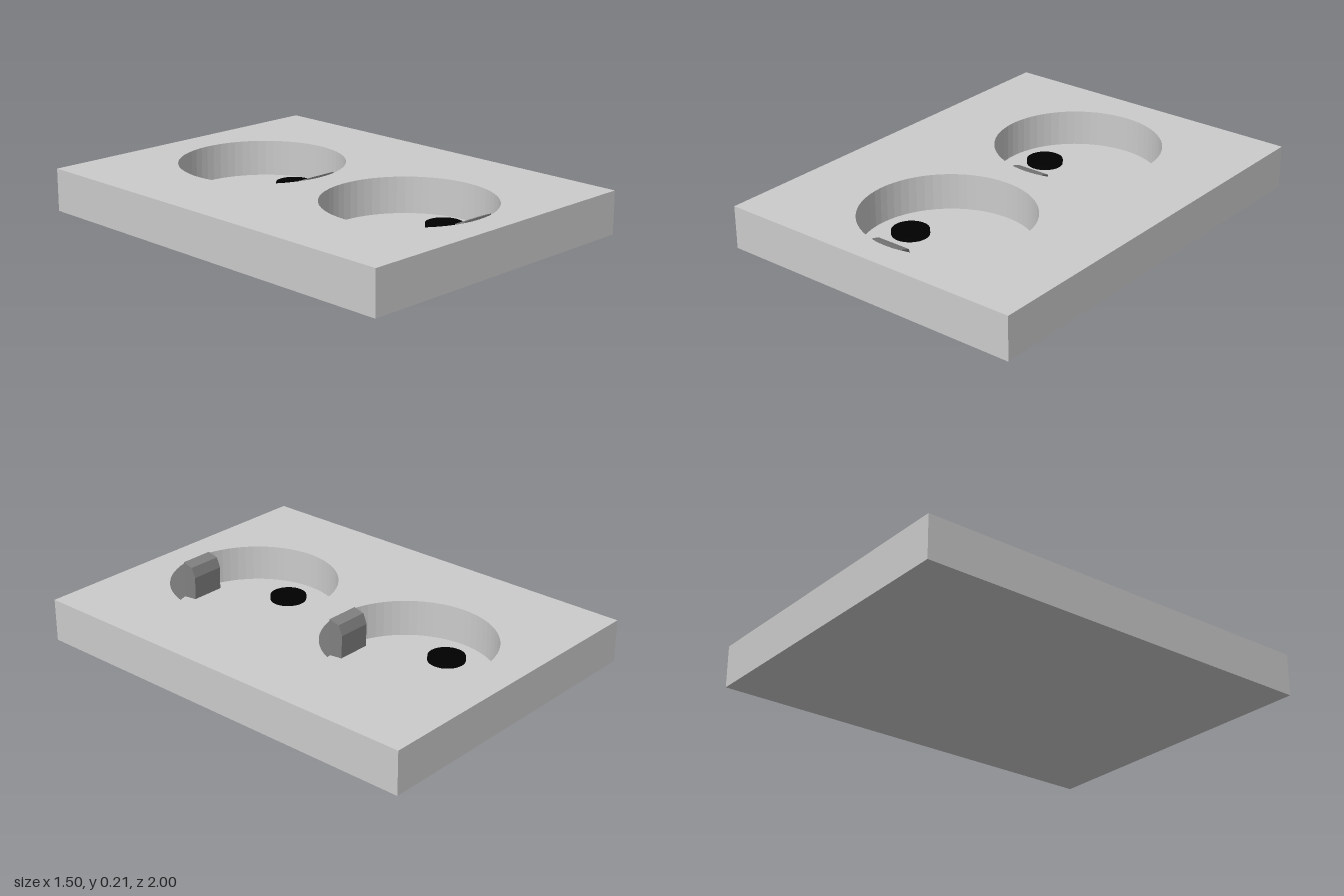
import * as THREE from 'three';

const FLOOR = 0.03, TOP = 0.2, RADIUS = 0.387;
const RECESS_Z = [-0.44, 0.48], PIN_Z = [-0.475, 0.475], PIN_X = [-0.22, 0.235];

const grey = new THREE.MeshStandardMaterial({ color: 0xcccccc });
const black = new THREE.MeshStandardMaterial({ color: 0x000000 });
const metal = new THREE.MeshStandardMaterial({ color: 0x808080, flatShading: true });

function add(parent, name, geometry, material) {
  const mesh = new THREE.Mesh(geometry, material);
  mesh.name = name;
  parent.add(mesh);
  return mesh;
}

// Plate body with two round through-holes, closed by the base below
function facePlateGeometry() {
  const shape = new THREE.Shape();
  shape.moveTo(-0.75, -1).lineTo(0.75, -1).lineTo(0.75, 1).lineTo(-0.75, 1).closePath();
  for (const z of RECESS_Z) {
    shape.holes.push(new THREE.Path().absarc(0, -z, RADIUS, 0, Math.PI * 2, true));
  }
  return new THREE.ExtrudeGeometry(shape, { depth: TOP - FLOOR, bevelEnabled: false, curveSegments: 32 })
    .rotateX(-Math.PI / 2).translate(0, FLOOR, 0);
}

// Bent earth clip: side profile swept across x, slightly sheared along z
function clipGeometry() {
  const profile = [[0.318, FLOOR], [0.315, 0.14], [0.332, 0.188], [0.378, 0.206], [0.378, FLOOR]];
  const shape = new THREE.Shape(profile.map(([z, y]) => new THREE.Vector2(-z, y)));
  const geometry = new THREE.ExtrudeGeometry(shape, { depth: 0.165, bevelEnabled: false })
    .rotateY(Math.PI / 2).translate(-0.0825, 0, 0);
  const p = geometry.attributes.position;
  for (let i = 0; i < p.count; i++) p.setX(i, p.getX(i) + (p.getZ(i) - 0.35) * 0.16);
  geometry.computeVertexNormals();
  return geometry;
}

export function createModel() {
  const model = new THREE.Group();
  model.name = 'doubleSocket';

  add(model, 'facePlate', facePlateGeometry(), grey);
  add(model, 'basePlate', new THREE.BoxGeometry(1.5, FLOOR, 2).translate(0, FLOOR / 2, 0), grey);

  RECESS_Z.forEach((z, i) => {
    const socket = new THREE.Group();
    socket.name = i === 0 ? 'backSocket' : 'frontSocket';
    model.add(socket);

    // Dark pin holes on the recess floor
    for (const x of PIN_X) {
      add(socket, 'pinHole', new THREE.CylinderGeometry(0.085, 0.085, 0.02, 32), black)
        .position.set(x, FLOOR + 0.01, PIN_Z[i]);
    }
    add(socket, 'earthClip', clipGeometry(), metal).position.z = z;
  });
  return model;
}
